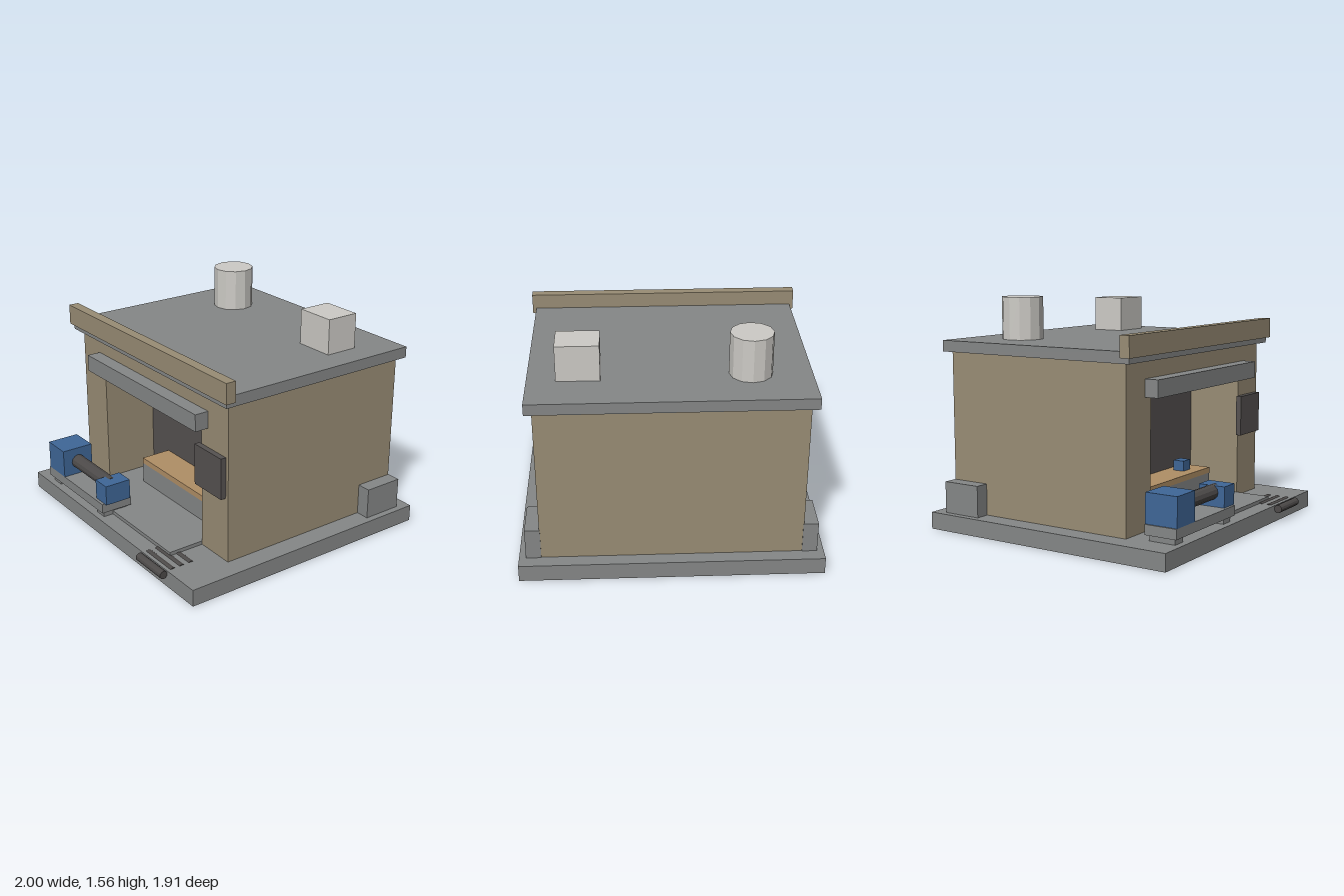
import * as THREE from 'three';

export function createModel() {
  const model = new THREE.Group();
  model.name = 'workshop';

  const paint = (name, color) => {
    const m = new THREE.MeshStandardMaterial({ color, flatShading: true });
    m.name = name;
    return m;
  };
  const concrete = paint('concrete grey', 0x858787);
  const wall = paint('tan wall', 0x998d75);
  const dark = paint('dark panel', 0x565251);
  const steel = paint('dark steel', 0x4d4a49);
  const blue = paint('machine blue', 0x3f6798);
  const wood = paint('bench wood', 0xb08f66);
  const pale = paint('pale metal', 0xcdcbc6);

  const add = (name, geometry, material, parent) => {
    const mesh = new THREE.Mesh(geometry, material);
    mesh.name = name;
    parent.add(mesh);
    return mesh;
  };
  // Box given by its lower and upper limits on each axis
  const box = (name, material, [x0, x1], [y0, y1], [z0, z1], parent = model) => {
    const g = new THREE.BoxGeometry(x1 - x0, y1 - y0, z1 - z0);
    g.translate((x0 + x1) / 2, (y0 + y1) / 2, (z0 + z1) / 2);
    return add(name, g, material, parent);
  };
  // Cylinder lying along x
  const rod = (name, material, [x0, x1], y, z, r, parent = model) => {
    const g = new THREE.CylinderGeometry(r, r, x1 - x0, 12);
    g.rotateZ(Math.PI / 2);
    g.translate((x0 + x1) / 2, y, z);
    return add(name, g, material, parent);
  };
  const group = (name) => {
    const g = new THREE.Group();
    g.name = name;
    model.add(g);
    return g;
  };

  // Ground slab and threshold floor
  box('base', concrete, [-1, 1], [0, 0.115], [-0.955, 0.9]);
  box('floor', concrete, [-0.58, 0.58], [0.115, 0.14], [0.14, 0.785]);

  // Building shell with a deep front opening
  const outline = new THREE.Shape();
  [[-0.86, 0.115], [-0.58, 0.115], [-0.58, 0.96], [0.58, 0.96], [0.58, 0.115],
    [0.86, 0.115], [0.86, 1.2], [-0.86, 1.2]].forEach(([x, y], i) => (i ? outline.lineTo(x, y) : outline.moveTo(x, y)));
  const front = new THREE.ExtrudeGeometry(outline, { depth: 0.39, bevelEnabled: false });
  front.translate(0, 0, 0.14);
  const shell = group('building');
  add('frontWall', front, wall, shell);
  box('rearWalls', wall, [-0.86, 0.86], [0.115, 1.2], [-0.86, 0.14], shell);
  box('innerBackWall', dark, [-0.58, 0.58], [0.115, 0.96], [0.138, 0.145], shell);
  box('wallBoard', concrete, [-0.51, -0.05], [0.68, 0.86], [0.145, 0.16], shell);

  // Roof, parapet and awning
  box('roof', concrete, [-0.905, 0.905], [1.2, 1.275], [-0.905, 0.58]);
  box('parapet', wall, [-0.93, 0.93], [1.237, 1.375], [0.53, 0.6]);
  box('awning', concrete, [-0.65, 0.65], [0.97, 1.085], [0.53, 0.627]);
  const chimney = add('chimney', new THREE.CylinderGeometry(0.14, 0.14, 0.285, 12), pale, model);
  chimney.position.set(-0.512, 1.4175, -0.538);
  box('roofVent', pale, [0.44, 0.72], [1.275, 1.515], [-0.61, -0.38]);

  // Blank board beside the opening
  box('sideBoard', dark, [0.555, 0.835], [0.56, 0.84], [0.53, 0.568]);

  // Buttresses at the rear corners
  for (const s of [-1, 1]) {
    const x = s < 0 ? [-0.955, -0.855] : [0.855, 0.955];
    box('buttress', concrete, x, [0.115, 0.328], [-0.865, -0.585]);
  }

  // Workbench inside the opening
  const bench = group('workbench');
  box('benchBody', concrete, [-0.375, 0.46], [0.14, 0.285], [0.15, 0.37], bench);
  box('benchTop', wood, [-0.375, 0.46], [0.285, 0.325], [0.15, 0.37], bench);
  box('vise', blue, [0.23, 0.32], [0.325, 0.397], [0.21, 0.29], bench);

  // Turning machine on the forecourt
  const lathe = group('lathe');
  for (const x of [-0.815, -0.21]) box('foot', concrete, [x, x + 0.09], [0.115, 0.155], [0.67, 0.855], lathe);
  box('bed', concrete, [-0.84, -0.1], [0.155, 0.222], [0.65, 0.877], lathe);
  box('headstock', blue, [-0.83, -0.62], [0.222, 0.42], [0.65, 0.877], lathe);
  box('tailstock', blue, [-0.21, -0.075], [0.222, 0.362], [0.67, 0.858], lathe);
  rod('workpiece', steel, [-0.64, -0.16], 0.317, 0.762, 0.05, lathe);

  // Bar stock set into the front edge of the slab
  const bars = group('barStock');
  for (let i = 0; i < 4; i++) rod('bar', steel, [0.44, 0.72], 0.094, 0.927 - i * 0.07, 0.028, bars);

  return model;
}
